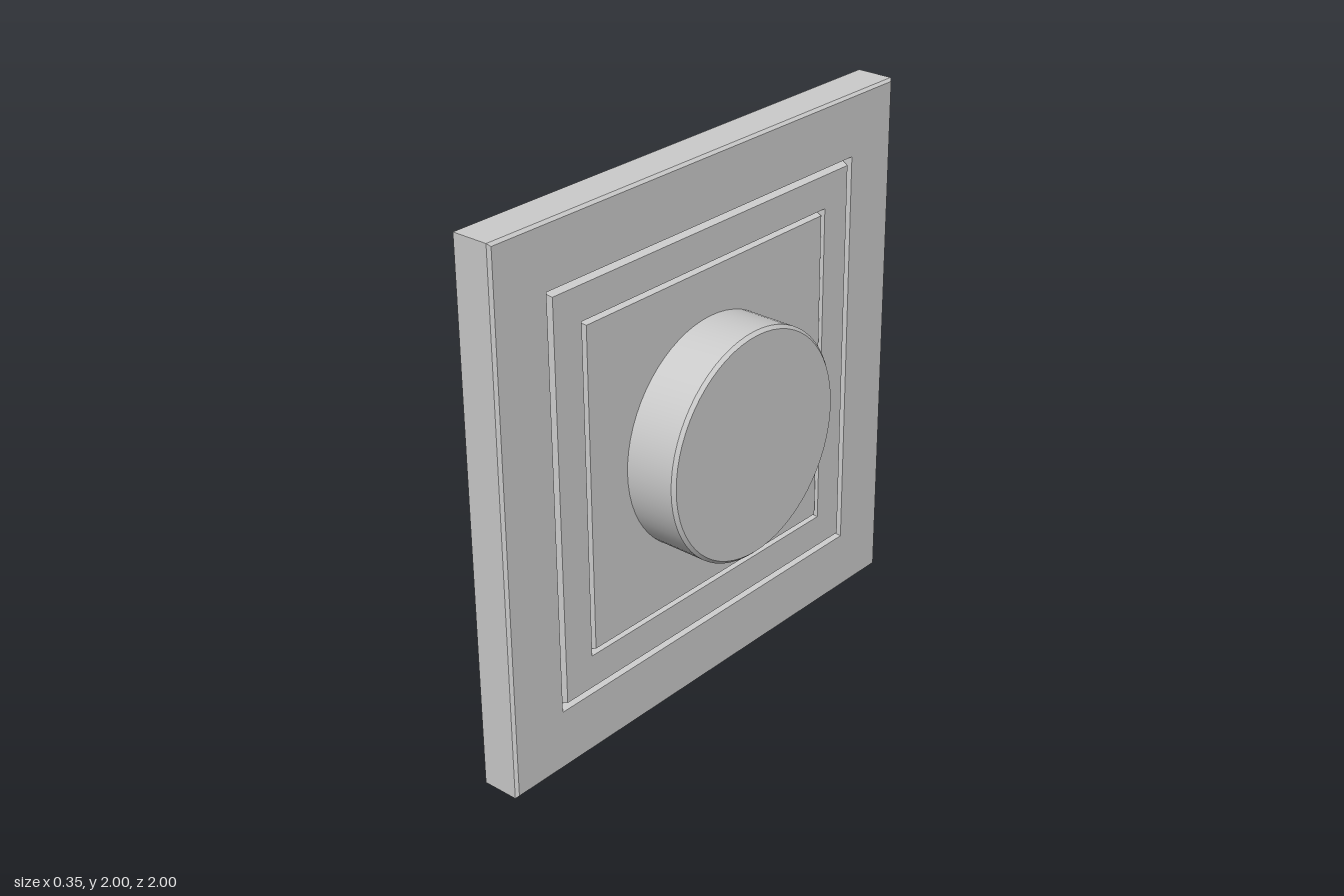
import * as THREE from 'three';
import { toCreasedNormals } from 'three/addons/utils/BufferGeometryUtils.js';

const FRONT = -0.027; // x of the panel's face
const BACK = -0.176;  // x of the panel's open rear edge

// Sweeps a [radius, x] profile around the x axis.
function turned(profile, segments, phi = 0) {
  const points = profile.map(([r, x]) => new THREE.Vector2(r, x));
  return new THREE.LatheGeometry(points, segments, phi).rotateZ(-Math.PI / 2);
}

// V-shaped groove pressed into the face, from outer to inner half-width
function groove(outer, inner, depth) {
  return [[outer, FRONT], [(outer + inner) / 2, FRONT - depth], [inner, FRONT]];
}

export function createModel() {
  const group = new THREE.Group();
  group.name = 'wallDial';

  // Square pressed panel, open at the back: profile of half-widths
  const panelProfile = [
    [1, BACK],
    [1, FRONT - 0.01],
    [0.99, FRONT],
    ...groove(0.77, 0.745, 0.037),
    ...groove(0.62, 0.6, 0.037),
    [0, FRONT],
  ].map(([half, x]) => [half * Math.SQRT2, x]);
  const panel = new THREE.Mesh(
    turned(panelProfile, 4, Math.PI / 4),
    new THREE.MeshStandardMaterial({ color: 0xcccccc, flatShading: true, side: THREE.DoubleSide })
  );
  panel.name = 'panel';

  // Round knob with a chamfered rim, seated just through the panel
  const knobProfile = [
    [0, FRONT - 0.004],
    [0.425, FRONT - 0.004],
    [0.425, 0.164],
    [0.413, 0.176],
    [0, 0.176],
  ];
  const knob = new THREE.Mesh(
    toCreasedNormals(turned(knobProfile, 64), 0.6),
    new THREE.MeshStandardMaterial({ color: 0xcccccc })
  );
  knob.name = 'knob';

  panel.position.y = knob.position.y = 1;
  group.add(panel, knob);
  return group;
}
